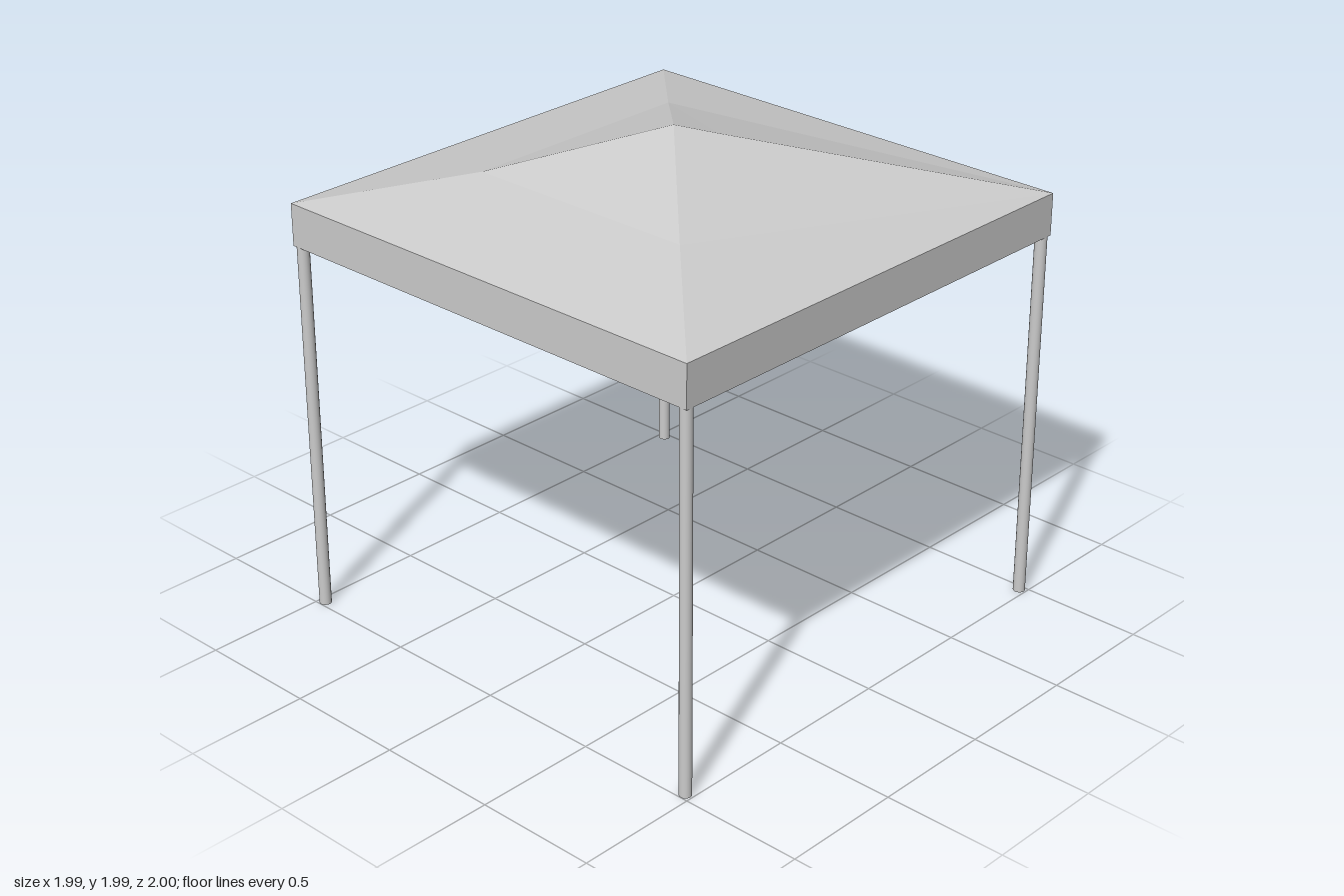
import * as THREE from 'three';

const W = 0.995, D = 1, EAVE = 1.7, HEM = 1.53, PEAK = 1.99;

// Corners counter-clockwise from above; each hip bends at fraction t, height y
const hips = [
  { x: 1, z: 1, t: 0.5, y: 1.815 },
  { x: 1, z: -1, t: 0.12, y: 1.953 },
  { x: -1, z: -1, t: 0.5, y: 1.815 },
  { x: -1, z: 1, t: 0.5, y: 1.815 },
];

function trianglesToGeometry(triangles) {
  const geometry = new THREE.BufferGeometry().setFromPoints(triangles.flat());
  geometry.computeVertexNormals();
  return geometry;
}

export function createModel() {
  const model = new THREE.Group();
  model.name = 'canopyTent';
  const cloth = new THREE.MeshStandardMaterial({ color: 0xcccccc, side: THREE.DoubleSide, flatShading: true });
  const metal = new THREE.MeshStandardMaterial({ color: 0xcccccc });

  const add = (name, geometry, material) => {
    const mesh = new THREE.Mesh(geometry, material);
    mesh.name = name;
    model.add(mesh);
    return mesh;
  };

  const peak = new THREE.Vector3(0, PEAK, 0);
  const at = (h, s, y) => new THREE.Vector3(h.x * W * s, y, h.z * D * s);
  const roof = [], valance = [];
  hips.forEach((a, i) => {
    const b = hips[(i + 1) % 4];
    const bendA = at(a, a.t, a.y), bendB = at(b, b.t, b.y);
    const eaveA = at(a, 1, EAVE), eaveB = at(b, 1, EAVE);
    const hemA = at(a, 1, HEM), hemB = at(b, 1, HEM);

    // Sloping roof panel, folded towards the tauter hip
    roof.push([peak, bendA, bendB]);
    if (a.t < b.t) roof.push([bendA, eaveA, bendB], [bendB, eaveA, eaveB]);
    else roof.push([bendA, eaveB, bendB], [bendA, eaveA, eaveB]);

    // Hanging cloth border
    valance.push([eaveA, hemA, hemB], [eaveA, hemB, eaveB]);
  });
  add('roof', trianglesToGeometry(roof), cloth);
  add('valance', trianglesToGeometry(valance), cloth);

  // Corner poles, reaching up inside the border to the eaves
  const radius = 0.024;
  const pole = new THREE.CylinderGeometry(radius, radius, EAVE, 20);
  for (const h of hips) {
    const name = (h.z > 0 ? 'front' : 'back') + (h.x > 0 ? 'Left' : 'Right') + 'Pole';
    add(name, pole, metal).position.set(h.x * (W - radius - 0.001), EAVE / 2, h.z * (D - radius - 0.001));
  }
  return model;
}
